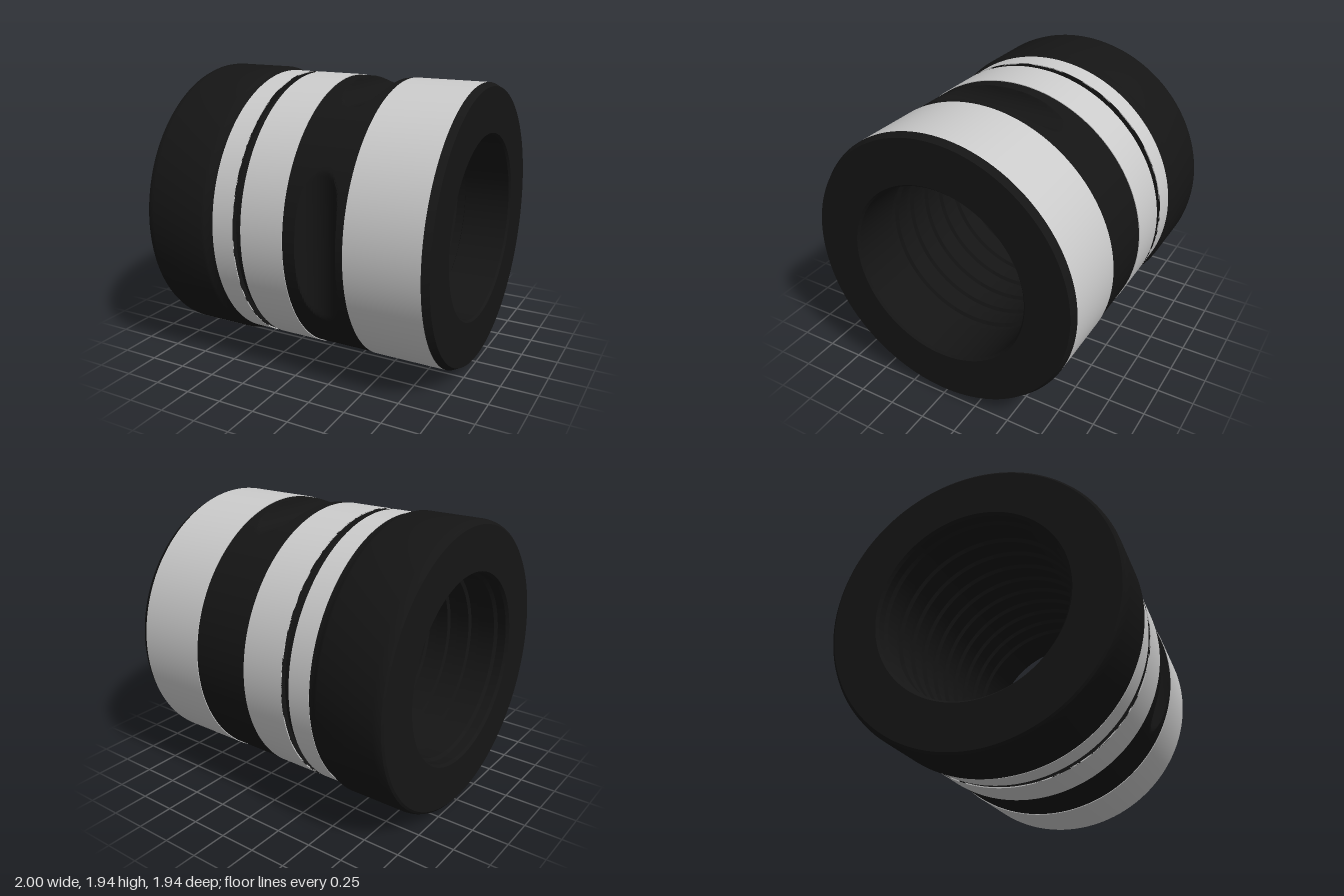
import * as THREE from 'three';
import { toCreasedNormals } from 'three/addons/utils/BufferGeometryUtils.js';

const CENTRE_Y = 0.97;
const black = new THREE.MeshStandardMaterial({ color: 0x151515 });
const grey = new THREE.MeshStandardMaterial({ color: 0xcccccc });

// Revolves [x, radius] pairs about the x axis; +x runs give outward faces
function revolve(profile, segments = 128) {
  const pts = profile.map(([x, r]) => new THREE.Vector2(r, x));
  return new THREE.LatheGeometry(pts, segments).rotateZ(-Math.PI / 2);
}

function addPart(group, name, geometry, material) {
  const mesh = new THREE.Mesh(toCreasedNormals(geometry, 0.5), material);
  mesh.name = name;
  group.add(mesh);
}

// Dark band with two straight round-bottomed cuts, one on top and one in front
function notchedBand() {
  const x0 = 0.27, cutRadius = 0.14, cutCentre = 0.95, r = 0.94;
  const profile = [[0.045, r], [0.1, r]];
  for (let i = 0; i <= 32; i++) {
    profile.push([x0 - (cutRadius + 0.002) * Math.cos((i / 32) * Math.PI), r]);
  }
  profile.push([0.44, r], [0.46, r]);
  const geometry = revolve(profile, 288);
  const p = geometry.attributes.position;
  for (let i = 0; i < p.count; i++) {
    const dx = p.getX(i) - x0;
    if (Math.abs(dx) > cutRadius) continue;
    const floor = cutCentre - Math.sqrt(cutRadius ** 2 - dx * dx);
    const reach = Math.max(p.getY(i), p.getZ(i));
    if (reach > floor) {
      const s = floor / reach;
      p.setXYZ(i, p.getX(i), p.getY(i) * s, p.getZ(i) * s);
    }
  }
  return geometry;
}

// Bore, from the +x mouth to the -x mouth, with evenly spaced shallow grooves
function boreProfile() {
  const r = 0.612;
  const profile = [[1, 0.625], [0.985, r]];
  for (let i = 0; i < 9; i++) {
    const x = 0.62 - i * 0.17;
    profile.push([x + 0.04, r], [x + 0.03, r + 0.025], [x - 0.03, r + 0.025], [x - 0.04, r]);
  }
  profile.push([-0.9, r], [-0.92, 0.63], [-0.98, 0.63], [-1, 0.645]);
  return profile;
}

export function createModel() {
  const model = new THREE.Group();
  model.name = 'ringedSleeve';

  // Thick collar with rounded outer edge and sloped inner shoulder
  addPart(model, 'collar', revolve([
    [-1, 0.645], [-1, 0.94], [-0.99, 0.954], [-0.97, 0.963], [-0.94, 0.968],
    [-0.55, 0.968], [-0.53, 0.962], [-0.505, 0.945], [-0.475, 0.942],
  ]), black);

  // Light bands around the barrel
  const bands = { narrowBand: [-0.475, -0.32], middleBand: [-0.26, 0.045], wideBand: [0.46, 0.955] };
  for (const [name, [a, b]] of Object.entries(bands)) {
    addPart(model, name, revolve([[a, 0.938], [a, 0.945], [b, 0.945], [b, 0.938]]), grey);
  }

  addPart(model, 'groove', revolve([
    [-0.32, 0.944], [-0.32, 0.905], [-0.26, 0.905], [-0.26, 0.944],
  ]), black);
  addPart(model, 'notchedBand', notchedBand(), black);
  addPart(model, 'endFace', revolve([
    [0.955, 0.945], [1, 0.922], [1, 0.625],
  ]), black);
  addPart(model, 'groovedBore', revolve(boreProfile()), black);

  model.children.forEach((part) => { part.position.y = CENTRE_Y; });
  return model;
}
